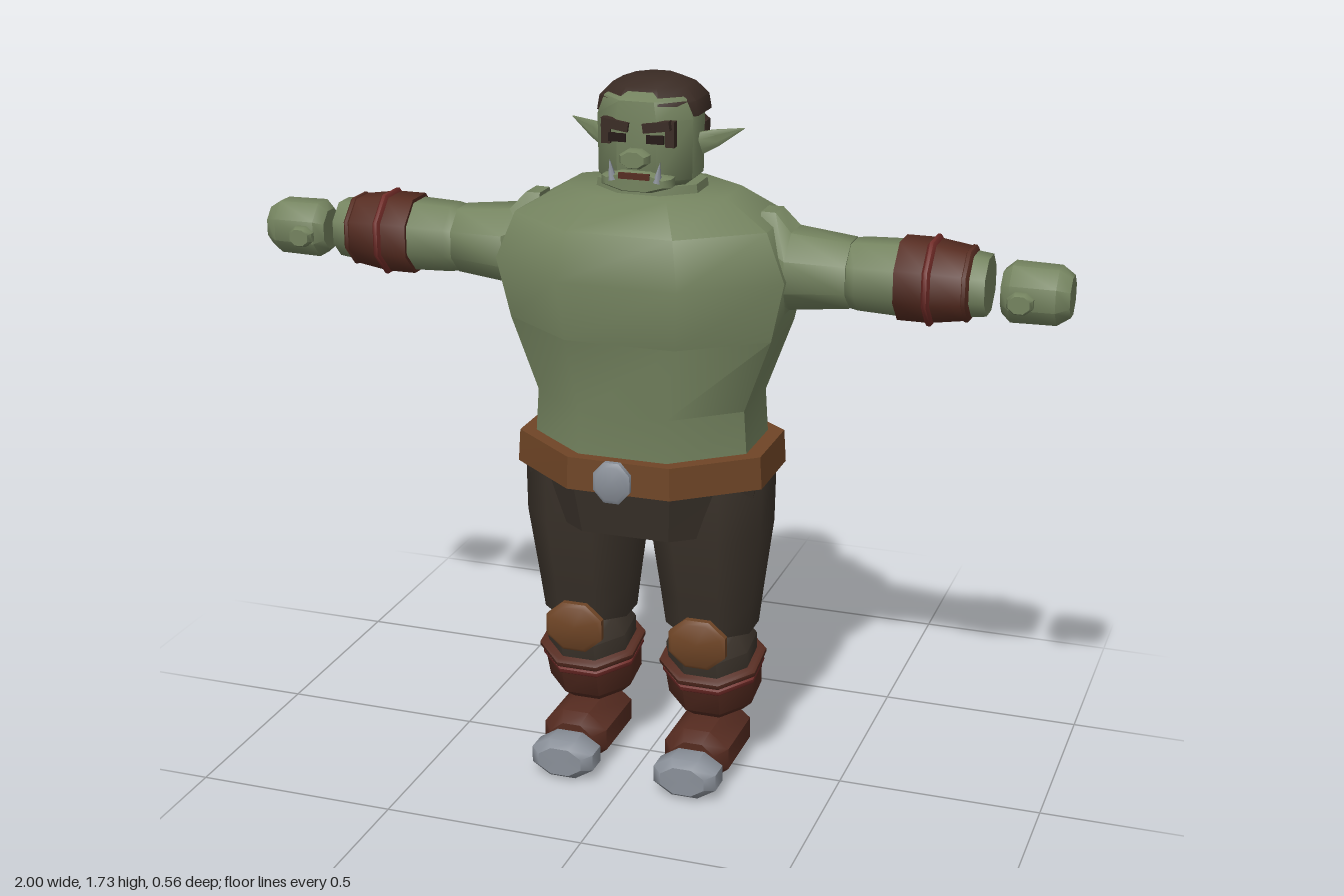
import * as THREE from 'three';
import { toCreasedNormals } from 'three/addons/utils/BufferGeometryUtils.js';

const mat = (name, color) => {
  const m = new THREE.MeshStandardMaterial({ color });
  m.name = name;
  return m;
};

// Octagonal loft along y; each ring is [y, halfX, halfZ, centreZ]
function loft(rings, crease = 0.85) {
  const pos = [], R = 1 / Math.cos(Math.PI / 8), n = rings.length;
  const p = (i, j) => {
    const [y, rx, rz = rx, cz = 0] = rings[i], a = (j + 0.5) * Math.PI / 4;
    return [Math.sin(a) * R * rx, y, cz + Math.cos(a) * R * rz];
  };
  const mid = (i) => [0, rings[i][0], rings[i][3] || 0];
  for (let j = 0; j < 8; j++) {
    for (let i = 0; i < n - 1; i++) {
      const a = p(i, j), b = p(i, j + 1), c = p(i + 1, j + 1), d = p(i + 1, j);
      pos.push(...a, ...b, ...c, ...a, ...c, ...d);
    }
    pos.push(...mid(0), ...p(0, j + 1), ...p(0, j));
    pos.push(...mid(n - 1), ...p(n - 1, j), ...p(n - 1, j + 1));
  }
  const g = new THREE.BufferGeometry();
  g.setAttribute('position', new THREE.Float32BufferAttribute(pos, 3));
  return toCreasedNormals(g, crease);
}

// Bevelled octagonal block, w x h, with its depth d along z
function pad(w, h, d, inset = 0.8, bevel = 0.25) {
  const b = d * (0.5 - bevel);
  return loft([[-d / 2, w / 2 * inset, h / 2 * inset], [-b, w / 2, h / 2],
    [b, w / 2, h / 2], [d / 2, w / 2 * inset, h / 2 * inset]]).rotateX(Math.PI / 2);
}

export function createModel() {
  const skin = mat('green skin', 0x74835f);
  const cloth = mat('dark trousers', 0x3a322a);
  const tan = mat('tan leather', 0x6f4526);
  const leather = mat('red brown leather', 0x552b20);
  const trim = mat('red trim', 0x6e2a26);
  const metal = mat('grey metal', 0x8a9099);
  const hair = mat('dark hair', 0x3a2b24);
  const dark = mat('dark eyes', 0x241815);

  const model = new THREE.Group();
  model.name = 'figure';
  const add = (name, geo, m, x = 0, y = 0, z = 0, parent = model) => {
    const mesh = new THREE.Mesh(geo, m);
    mesh.name = name;
    mesh.position.set(x, y, z);
    parent.add(mesh);
    return mesh;
  };
  const box = (w, h, d) => new THREE.BoxGeometry(w, h, d);

  // Torso, hips and belt
  add('chest', loft([[1.15, 0.325, 0.238, -0.018], [1.295, 0.357, 0.262, -0.018],
    [1.41, 0.31, 0.235, -0.018], [1.475, 0.2, 0.148, -0.022]]), skin);
  add('belly', loft([[0.82, 0.27, 0.218, -0.018], [0.97, 0.26, 0.218, -0.018],
    [1.15, 0.325, 0.238, -0.018]]), skin);
  add('hips', loft([[0.66, 0.265, 0.2, -0.018], [0.8, 0.295, 0.23, -0.018]], 0.5), cloth);
  add('belt', loft([[0.785, 0.31, 0.25, -0.018], [0.865, 0.305, 0.248, -0.018]], 0.5), tan);
  add('buckle', pad(0.09, 0.1, 0.026), metal, 0, 0.83, 0.27);

  // Head and neck
  add('neck', loft([[1.44, 0.13, 0.105, -0.02], [1.495, 0.122, 0.1, -0.02]]), skin);
  add('head', loft([[1.485, 0.085, 0.085, -0.01], [1.51, 0.115, 0.105, -0.01],
    [1.65, 0.117, 0.106, -0.01], [1.695, 0.1, 0.103, -0.01], [1.715, 0.07, 0.07, -0.01]]), skin);
  add('jaw', pad(0.17, 0.05, 0.06), skin, 0, 1.51, 0.082);
  add('mouth', box(0.075, 0.014, 0.008), leather, 0, 1.525, 0.112);
  add('nose', pad(0.07, 0.045, 0.05), skin, 0, 1.565, 0.1);
  add('hairCap', loft([[1.655, 0.124, 0.122, -0.033], [1.69, 0.118, 0.12, -0.033],
    [1.72, 0.09, 0.09, -0.033], [1.735, 0.052, 0.052, -0.033]]), hair);
  add('hairBack', pad(0.215, 0.17, 0.08, 0.8), hair, 0, 1.585, -0.105);

  for (const s of [1, -1]) {
    const side = s > 0 ? 'left' : 'right';

    // Face details
    add(side + 'Brow', box(0.065, 0.022, 0.022), hair, s * 0.05, 1.64, 0.094).rotation.z = s * 0.15;
    add(side + 'Temple', box(0.022, 0.06, 0.02), hair, s * 0.078, 1.622, 0.078);
    add(side + 'Eye', box(0.042, 0.02, 0.008), dark, s * 0.046, 1.61, 0.095);
    const tusk = add(side + 'Tusk', new THREE.ConeGeometry(0.011, 0.05, 6), metal, s * 0.058, 1.537, 0.106);
    tusk.rotation.z = -s * 0.15;
    const ear = add(side + 'Ear', loft([[0, 0.026, 0.012], [0.04, 0.02, 0.009], [0.11, 0.001, 0.001]]),
      skin, s * 0.115, 1.583, -0.02);
    ear.rotation.set(0, s * 0.35, -s * 1.25);

    // Arm, lofted outward from the shoulder
    const arm = new THREE.Group();
    arm.name = side + 'Arm';
    arm.position.set(0, 1.305, -0.025);
    arm.rotation.z = -s * Math.PI / 2;
    model.add(arm);
    add('upperArm', loft([[0.275, 0.135, 0.075], [0.31, 0.135, 0.08], [0.35, 0.092, 0.1],
      [0.49, 0.078, 0.08]]), skin, 0, 0, 0, arm);
    add('forearm', loft([[0.49, 0.076], [0.51, 0.08], [0.62, 0.084], [0.74, 0.075], [0.81, 0.067]]),
      skin, 0, 0, 0, arm);
    add('bracer', loft([[0.605, 0.092], [0.68, 0.092], [0.765, 0.08]]), leather, 0, 0, 0, arm);
    for (const [y, r] of [[0.68, 0.099], [0.765, 0.083]])
      add('bracerRing', loft([[y - 0.01, r - 0.007], [y - 0.004, r], [y + 0.004, r], [y + 0.01, r - 0.007]]),
        y < 0.7 ? trim : leather, 0, 0, 0, arm);
    add('hand', loft([[0.843, 0.048, 0.045], [0.865, 0.067, 0.062], [0.97, 0.065, 0.06],
      [1, 0.046, 0.042]]), skin, 0, 0, 0.007, arm).position.x = s * 0.007;
    add(side + 'Thumb', pad(0.06, 0.05, 0.045), skin, s * 0.893, 1.29, 0.045);

    // Thigh and knee pad
    const x = s * 0.16;
    add(side + 'Thigh', loft([[0.38, 0.108, 0.1, -0.013], [0.47, 0.118, 0.115, -0.01],
      [0.65, 0.14, 0.145, -0.005], [0.81, 0.143, 0.145, -0.005]]), cloth, x);
    add(side + 'KneePad', pad(0.145, 0.125, 0.032, 0.85), tan, x, 0.37, 0.106);

    // Shin and boot shaft lean back toward the ankle
    const shin = new THREE.Group();
    shin.name = side + 'LowerLeg';
    shin.position.set(x, 0.33, -0.01);
    shin.rotation.x = 0.23;
    model.add(shin);
    add('shin', loft([[-0.1, 0.1], [0.01, 0.105], [0.055, 0.075]]), cloth, 0, 0, 0, shin);
    add('bootShaft', loft([[-0.178, 0.08], [-0.145, 0.108], [-0.05, 0.114]]), leather, 0, 0, 0, shin);
    for (const [y, r] of [[-0.048, 0.124], [-0.072, 0.118]])
      add('bootCuff', loft([[y - 0.012, r - 0.008], [y - 0.004, r], [y + 0.006, r], [y + 0.012, r - 0.008]]),
        y > -0.06 ? leather : trim, 0, 0, 0, shin);

    // Foot with metal toe cap
    add(side + 'Foot', pad(0.165, 0.132, 0.25, 0.68, 0.13), leather, x, 0.07, 0.015);
    add(side + 'ToeCap', pad(0.16, 0.1, 0.1, 0.7, 0.22), metal, x, 0.051, 0.175);
  }
  return model;
}
